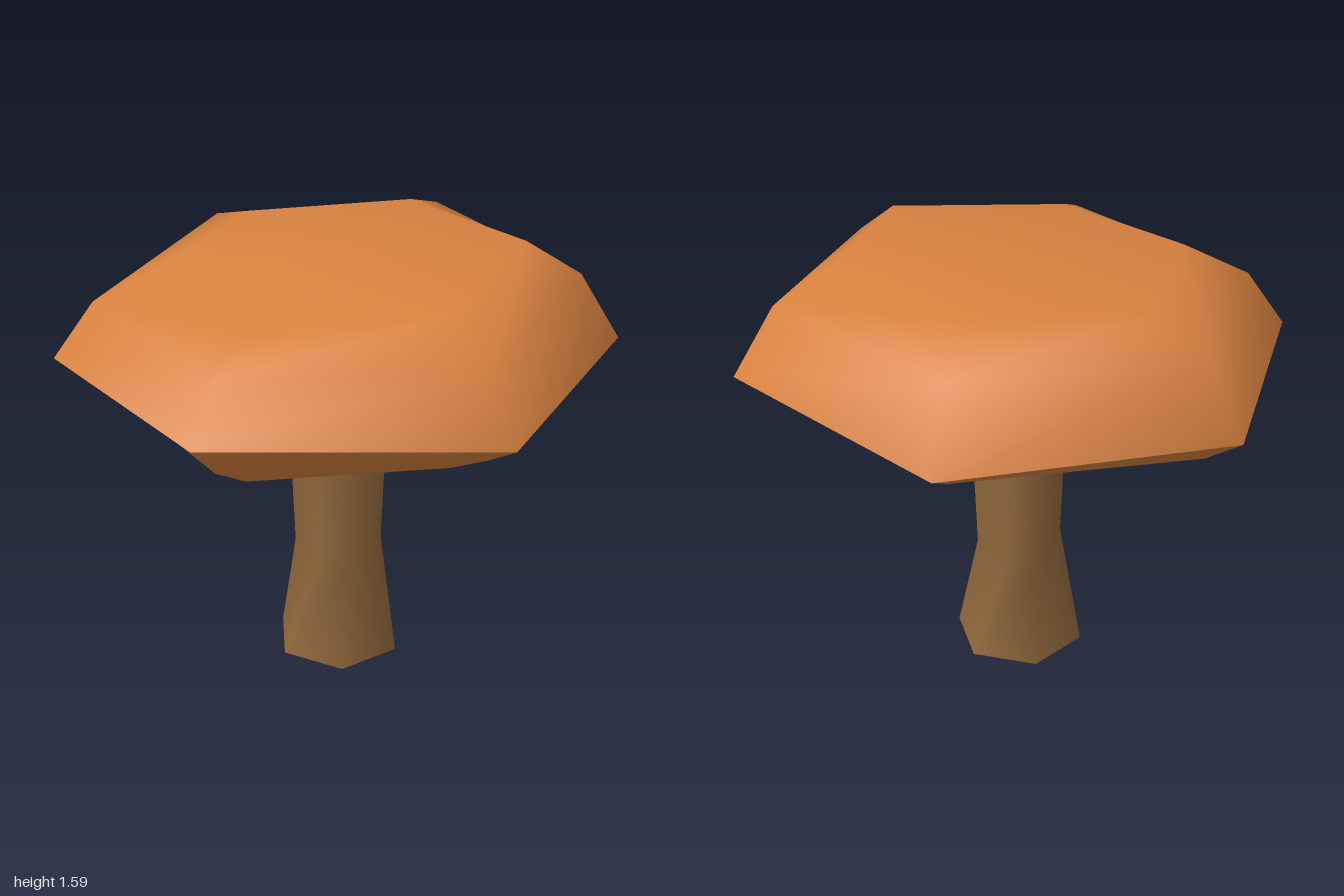
import * as THREE from 'three';

const SIDES = 6;

// One six-sided ring: radii and heights listed from the front round to the model's left (+x).
function ring(radii, heights, turn = 0) {
  return Array.from({ length: SIDES }, (_, k) => {
    const a = (k / SIDES) * Math.PI * 2 + turn;
    const r = Array.isArray(radii) ? radii[k] : radii;
    const y = Array.isArray(heights) ? heights[k] : heights;
    return [r * Math.sin(a), y, r * Math.cos(a)];
  });
}

// Smooth skin over rings from bottom to top, optionally closed at either end.
function loft(rings, bottomY = null, topY = null) {
  const points = rings.flat();
  const index = [];
  const last = (rings.length - 1) * SIDES;
  for (let k = 0; k < SIDES; k++) {
    const n = (k + 1) % SIDES;
    for (let base = 0; base < last; base += SIDES) {
      const a = base + k, b = base + n;
      index.push(a, b, b + SIDES, a, b + SIDES, a + SIDES);
    }
  }
  const close = (y, start, up) => {
    const centre = points.push([0, y, 0]) - 1;
    for (let k = 0; k < SIDES; k++) {
      const a = start + k, b = start + ((k + 1) % SIDES);
      index.push(centre, up ? a : b, up ? b : a);
    }
  };
  if (bottomY !== null) close(bottomY, 0, false);
  if (topY !== null) close(topY, last, true);
  const geometry = new THREE.BufferGeometry();
  geometry.setAttribute('position', new THREE.Float32BufferAttribute(points.flat(), 3));
  geometry.setIndex(index);
  geometry.computeVertexNormals();
  return geometry;
}

export function createModel() {
  const model = new THREE.Group();
  model.name = 'mushroom';

  const capOrange = new THREE.MeshStandardMaterial({ color: 0xd98240 });
  capOrange.name = 'cap orange';
  const stemBrown = new THREE.MeshStandardMaterial({ color: 0x90673b });
  stemBrown.name = 'stem brown';

  const add = (name, geometry, material) => {
    const mesh = new THREE.Mesh(geometry, material);
    mesh.name = name;
    model.add(mesh);
  };

  // Uneven rim shared by both halves of the cap, creased along its edge
  const rim = ring(1, [1.25, 1.22, 1.22, 1.22, 1.21, 1.19]);

  add('capTop', loft([
    rim,
    ring(0.85, [1.43, 1.42, 1.465, 1.49, 1.46, 1.4]),
    ring([0.67, 0.66, 0.65, 0.6, 0.62, 0.6], [1.5, 1.56, 1.59, 1.575, 1.535, 1.535]),
  ], null, 1.56), capOrange);

  add('capUnderside', loft([
    ring([0.32, 0.33, 0.33, 0.3, 0.32, 0.32], [0.92, 0.89, 0.89, 0.92, 0.91, 0.915]),
    ring([0.67, 0.67, 0.68, 0.6, 0.64, 0.64], [0.99, 1.02, 1.05, 1.04, 1.03, 1.03]),
    ring([0.86, 0.86, 0.86, 0.845, 0.85, 0.85], [1.11, 1.13, 1.13, 1.13, 1.1, 1.1]),
    rim,
  ], 0.9), capOrange);

  // Flared stem with a sharp-edged foot
  const foot = ring(0.243, 0, -Math.PI / 6);
  add('stem', loft([foot, ring(0.16, 0.43), ring(0.178, 0.93)]), stemBrown);
  add('stemBase', loft([foot], 0), stemBrown);

  return model;
}
